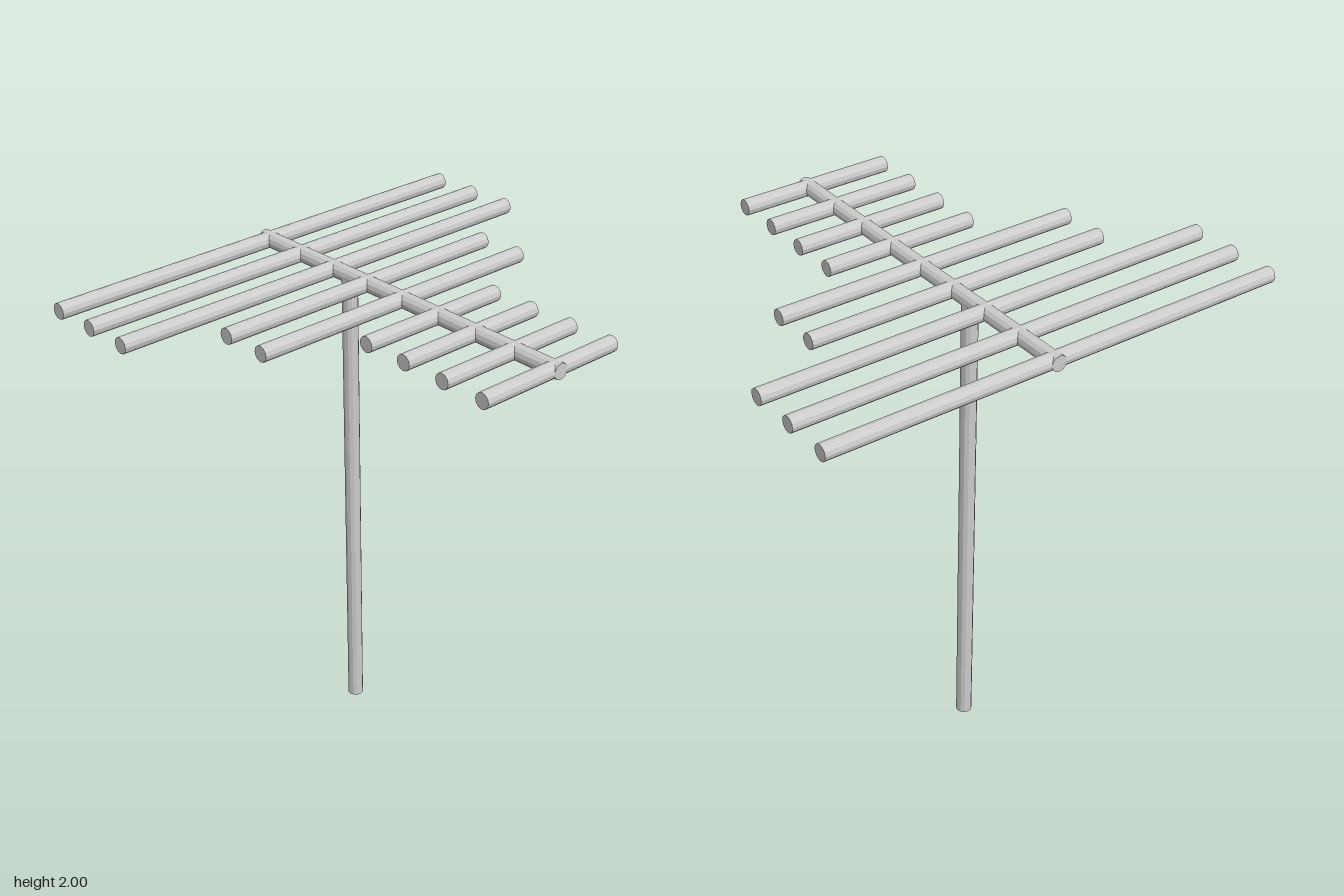
import * as THREE from 'three';

const R = 0.032;      // shared tube radius
const BOOM_Y = 1.968;
const BOOM_Z = -0.03;

export function createModel() {
  const model = new THREE.Group();
  const material = new THREE.MeshStandardMaterial({ color: 0xcccccc, flatShading: true });

  function addTube(name, length, x, y, z) {
    const mesh = new THREE.Mesh(new THREE.CylinderGeometry(R, R, length, 12), material);
    mesh.name = name;
    mesh.position.set(x, y, z);
    model.add(mesh);
    return mesh;
  }

  // Upright mast, ending inside the boom
  addTube('mast', BOOM_Y, -0.294, BOOM_Y / 2, BOOM_Z);

  // Horizontal boom
  addTube('boom', 1.606, 0, BOOM_Y, BOOM_Z).rotation.z = Math.PI / 2;

  // Cross rods, stepping down in length along the boom
  const halfLengths = [0.967, 0.967, 0.967, 0.645, 0.645, 0.323, 0.323, 0.323, 0.323];
  halfLengths.forEach((half, i) => {
    addTube('crossRod' + (i + 1), half * 2, (i - 4) * 0.193, BOOM_Y, 0).rotation.x = Math.PI / 2;
  });

  return model;
}
